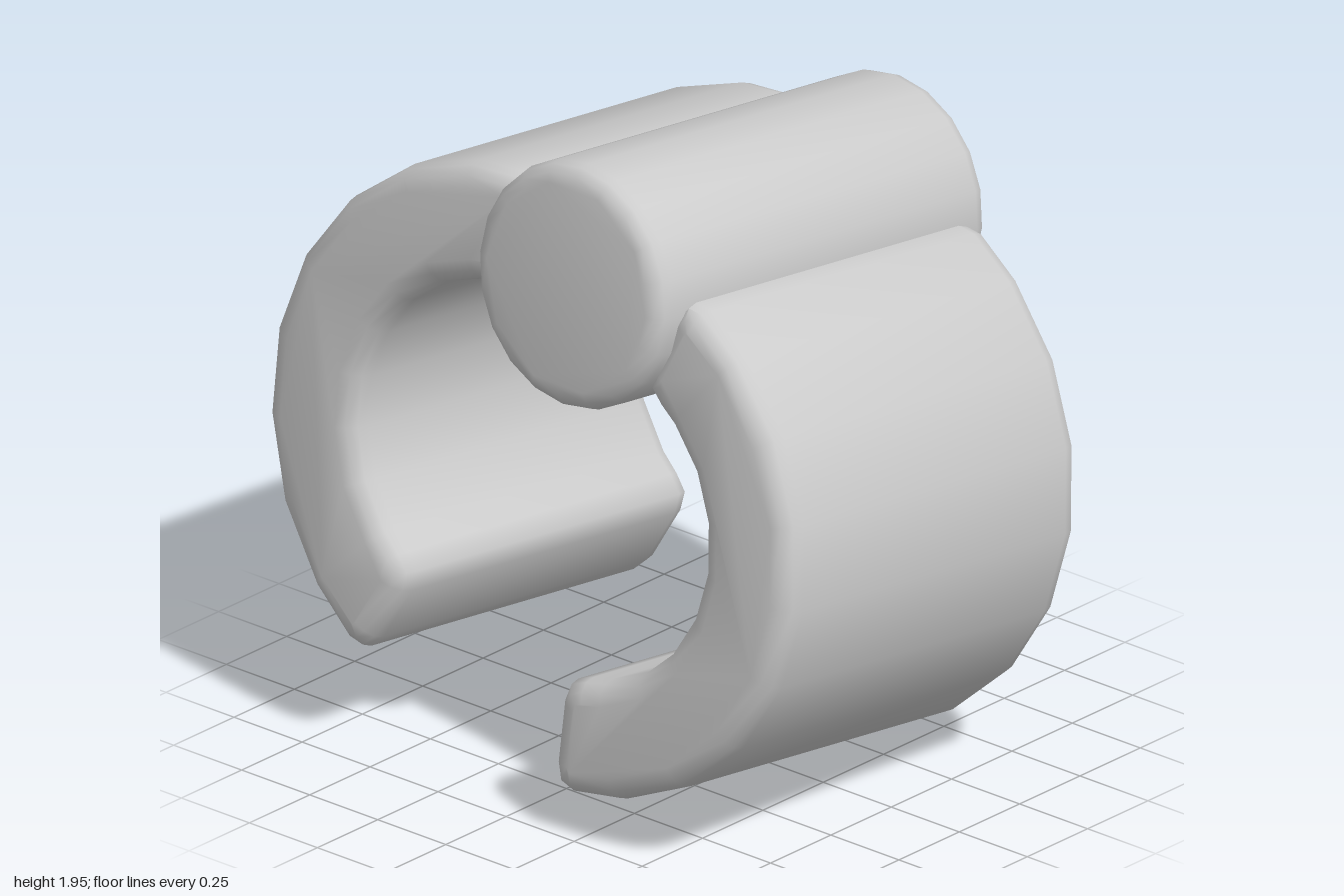
import * as THREE from 'three';
import { toCreasedNormals } from 'three/addons/utils/BufferGeometryUtils.js';

const material = new THREE.MeshStandardMaterial({ color: 0xcccccc });
const MID_Z = 0.05;
const rad = THREE.MathUtils.degToRad;
const polar = (r, a) => new THREE.Vector2(r * Math.cos(a), r * Math.sin(a));

// Bevelled solid along z from an outline, with smooth edges
function solid(name, points, length, bevel) {
  const geometry = new THREE.ExtrudeGeometry(new THREE.Shape(points), {
    depth: length - 2 * bevel,
    bevelThickness: bevel,
    bevelSize: bevel,
    bevelOffset: -bevel,
    bevelSegments: 3,
  });
  geometry.translate(0, 0, bevel - length / 2);
  const mesh = new THREE.Mesh(toCreasedNormals(geometry, 0.9), material);
  mesh.name = name;
  return mesh;
}

// Outline of a ring sector whose four corners are rounded
function arcOutline(inner, outer, startDeg, endDeg, steps) {
  const a0 = rad(startDeg), a1 = rad(endDeg), c = 0.075;
  const points = [];
  const corner = (r, a, dr, da) => {
    // from the curved side to the flat end, or back when reversed
    const p = polar(r, a + (da * c) / r), q = polar(r, a), s = polar(r + dr * c, a);
    return new THREE.QuadraticBezierCurve(p, q, s).getPoints(2);
  };
  const sweep = (r, from, to) => {
    for (let i = 1; i < steps; i++) points.push(polar(r, from + ((to - from) * i) / steps));
  };
  points.push(...corner(outer, a0, -1, 1).reverse());
  sweep(outer, a0, a1);
  points.push(...corner(outer, a1, -1, -1));
  points.push(...corner(inner, a1, 1, -1).reverse());
  sweep(inner, a1, a0);
  points.push(...corner(inner, a0, 1, 1));
  return points;
}

export function createModel() {
  const model = new THREE.Group();
  model.name = 'clip';

  // Whole clip leans back a little
  const clip = new THREE.Group();
  clip.name = 'tiltedClip';
  clip.position.y = 0.94;
  clip.rotation.set(-0.113, -0.02, 0);
  model.add(clip);

  // Two curved jaws
  const rightJaw = solid('rightJaw', arcOutline(0.485, 0.82, 83, 241, 9), 1.2, 0.065);
  rightJaw.position.set(-0.17, -0.005, MID_Z);

  const leftJaw = solid('leftJaw', arcOutline(0.465, 0.8, -92, 67, 9), 1.2, 0.065);
  leftJaw.position.set(0.185, -0.085, MID_Z);

  // Hinge barrel
  const circle = [];
  for (let i = 0; i < 20; i++) circle.push(polar(0.352, (i / 20) * Math.PI * 2));
  const hinge = solid('hingeBarrel', circle, 1.35, 0.055);
  hinge.position.set(0.15, 0.593, MID_Z);

  clip.add(rightJaw, leftJaw, hinge);
  return model;
}
